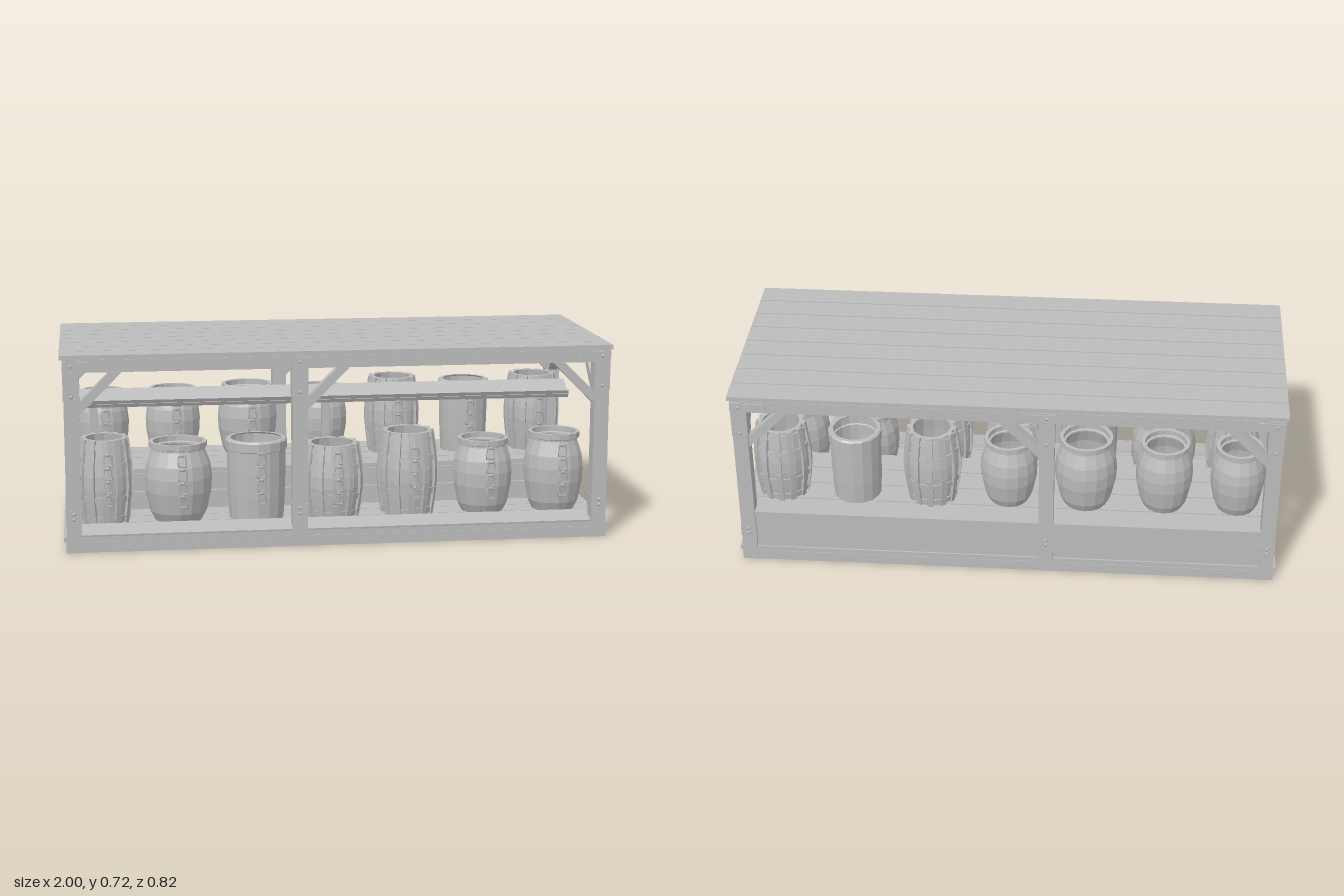
import * as THREE from 'three';
import { mergeGeometries } from 'three/addons/utils/BufferGeometryUtils.js';

const grey = new THREE.MeshStandardMaterial({ color: 0xbbbbbb });
grey.name = 'plain grey';

function add(parent, name, geo, x = 0, y = 0, z = 0) {
  const m = new THREE.Mesh(geo, grey);
  m.name = name;
  m.position.set(x, y, z);
  parent.add(m);
  return m;
}

// Box given by its minimum and maximum on every axis
function span(parent, name, x0, x1, y0, y1, z0, z1) {
  return add(parent, name, new THREE.BoxGeometry(x1 - x0, y1 - y0, z1 - z0),
    (x0 + x1) / 2, (y0 + y1) / 2, (z0 + z1) / 2);
}

// Diagonal brace rising away from a post
function brace(parent, x, z, turn) {
  const s = new THREE.Shape([[0, 0.5], [0.155, 0.655], [0.11, 0.655], [0, 0.545]].map(p => new THREE.Vector2(...p)));
  const g = new THREE.ExtrudeGeometry(s, { depth: 0.035, bevelEnabled: false });
  g.translate(0, 0, -0.0175);
  add(parent, 'brace', g, x, 0, z).rotation.y = turn;
}

// Hollow faceted vessel from an outer profile of [radius, height] pairs
function vesselBody(profile, sides) {
  const pts = [[0, profile[0][1]], ...profile,
    ...profile.slice(1).reverse().map(([r, y]) => [r - 0.014, y]), [0, profile[1][1]]];
  const g = new THREE.LatheGeometry(pts.map(p => new THREE.Vector2(...p)), sides).toNonIndexed();
  g.computeVertexNormals();
  return g;
}

// Small square frames stacked on the front face of a vessel
function latches(parent, radiusAt, h) {
  const n = 4;
  for (let i = 0; i < n; i++) {
    const y = h * 0.3 + i * 0.05;
    const g = new THREE.TorusGeometry(0.02, 0.004, 4, 4);
    g.rotateZ(Math.PI / 4);
    g.scale(1, 1.35, 1.3);
    add(parent, 'latch', g, 0.01, y, radiusAt(y) + 0.006);
    add(parent, 'latchPin', new THREE.SphereGeometry(0.007, 6, 4), 0.01, y + 0.022, radiusAt(y) + 0.01);
  }
}

const SHAPES = {
  barrel: [[0.84, 0], [0.93, 0.2], [1, 0.42], [1, 0.58], [0.93, 0.8], [0.84, 1]],
  jar: [[0.7, 0], [0.85, 0.12], [0.98, 0.38], [1, 0.56], [0.95, 0.72], [0.79, 0.9], [0.79, 0.92], [0.86, 0.93], [0.86, 1]],
  tub: [[0.88, 0], [0.93, 0.3], [0.95, 0.6], [0.95, 0.86], [1, 0.87], [1, 0.98], [0.95, 1]],
};

function vessel(parent, kind, x, y, z, r, h) {
  const v = new THREE.Group();
  v.name = kind;
  v.position.set(x, y, z);
  parent.add(v);
  const prof = SHAPES[kind].map(([a, b]) => [a * r, b * h]);
  const radiusAt = yy => {
    let i = 1;
    while (i < prof.length - 1 && prof[i][1] < yy) i++;
    const [a, b] = [prof[i - 1], prof[i]];
    return a[0] + (b[0] - a[0]) * (yy - a[1]) / (b[1] - a[1]);
  };
  const sides = kind === 'barrel' ? 12 : 16;
  add(v, kind + 'Body', vesselBody(prof, sides));
  if (kind === 'barrel') {
    // raised upright straps along the corners
    const straps = [];
    for (let s = 0; s < 12; s++) {
      for (let i = 1; i < prof.length; i++) {
        const [a, b] = [prof[i - 1], prof[i]];
        const dr = b[0] - a[0], dy = b[1] - a[1];
        const g = new THREE.BoxGeometry(0.022, Math.hypot(dr, dy), 0.014);
        g.rotateX(Math.atan2(dr, dy));
        g.translate(0, (a[1] + b[1]) / 2, (a[0] + b[0]) / 2);
        g.rotateY(s * Math.PI / 6);
        straps.push(g);
      }
    }
    add(v, 'barrelStraps', mergeGeometries(straps));
    // raised hoops
    for (const t of [0.06, 0.3, 0.7, 0.92]) {
      const y0 = t * h - 0.011, y1 = t * h + 0.011;
      const ring = [[radiusAt(y0) - 0.006, y0], [radiusAt(y0) + 0.005, y0], [radiusAt(y1) + 0.005, y1], [radiusAt(y1) - 0.006, y1]];
      const g = new THREE.LatheGeometry(ring.map(p => new THREE.Vector2(...p)), 12).toNonIndexed();
      g.computeVertexNormals();
      add(v, 'barrelHoop', g);
    }
  }
  latches(v, radiusAt, h);
}

export function createModel() {
  const root = new THREE.Group();
  root.name = 'marketStall';

  // Roof and floor planks
  for (let i = 0; i < 8; i++) {
    const z = -0.4 + i * 0.1;
    span(root, 'roofPlank', -1, 1, 0.702, 0.718, z + 0.002, z + 0.098);
    span(root, 'floorPlank', -0.998, 0.998, 0.042, 0.06, z + 0.002, z + 0.098);
  }
  add(root, 'loosePlank', new THREE.BoxGeometry(1.87, 0.013, 0.1), 0, 0.069, 0.348).rotation.x = 0.18;

  // Long beams and cross beams under both decks
  for (const z of [-0.373, 0.373]) {
    span(root, 'roofBeam', -0.99, 0.99, 0.657, 0.702, z - 0.027, z + 0.027);
    span(root, 'floorBeam', -0.99, 0.99, 0.003, 0.042, z - 0.027, z + 0.027);
  }
  for (const x of [-0.96, -0.32, 0.32, 0.96]) {
    span(root, 'roofCrossBeam', x - 0.025, x + 0.025, 0.655, 0.702, -0.346, 0.346);
    span(root, 'floorCrossBeam', x - 0.025, x + 0.025, 0.005, 0.042, -0.346, 0.346);
  }

  // Posts with bolted plates and braces
  for (const side of [-1, 1]) {
    for (const x of [-0.96, -0.147, 0.96]) {
      const z = side * 0.374;
      span(root, 'post', x - 0.027, x + 0.027, 0.003, 0.7, z - 0.028, z + 0.028);
      for (const [y0, y1] of [[0.11, 0.16], [0.555, 0.695]]) {
        span(root, 'postPlate', x - 0.029, x + 0.029, y0, y1, z - 0.029, z + 0.029);
        for (const y of [y0 + 0.015, y1 - 0.015]) {
          add(root, 'bolt', new THREE.SphereGeometry(0.007, 6, 4), x, y, side * 0.403);
        }
      }
      span(root, 'beamPlate', x - (x > 0.9 ? 0.1 : 0.03), x + (x > 0.9 ? 0.03 : 0.07), 0.663, 0.695,
        side * 0.402 - 0.003, side * 0.402 + 0.003);
      brace(root, x + (x > 0.9 ? -0.025 : 0.025), z, x > 0.9 ? Math.PI : 0);
      if (Math.abs(x) > 0.9) brace(root, x, side * 0.348, side * Math.PI / 2);
    }
  }

  // Raised bench at the back
  span(root, 'benchBack', -0.984, 0.984, 0.06, 0.2, -0.392, -0.378);
  for (const s of [-1, 1]) {
    span(root, 'benchEnd', s * 0.978 - 0.008, s * 0.978 + 0.008, 0.06, 0.2, -0.392, 0.005);
  }
  for (const y of [0.062, 0.132]) span(root, 'benchFront', -0.97, 0.97, y, y + 0.066, -0.01, 0.005);
  for (let i = 0; i < 4; i++) {
    const z = -0.4 + i * 0.1025;
    span(root, 'benchPlank', -0.985, 0.985, 0.2, 0.217, z + 0.002, z + 0.1);
  }

  // Sloping rail on uprights
  add(root, 'railBoard', new THREE.BoxGeometry(1.88, 0.015, 0.096), 0, 0.482, -0.053).rotation.x = 0.5;
  add(root, 'railLip', new THREE.BoxGeometry(1.88, 0.026, 0.009), 0, 0.471, -0.012).rotation.x = 0.5;
  for (const x of [-0.88, 0, 0.88]) {
    span(root, 'railUpright', x - 0.015, x + 0.015, 0.217, 0.46, -0.068, -0.038);
    span(root, 'railCap', x - 0.02, x + 0.02, 0.447, 0.477, -0.071, -0.035);
  }

  // Front row: kind, x, radius, height
  for (const [k, x, r, h] of [['barrel', -0.845, 0.098, 0.315], ['jar', -0.575, 0.125, 0.295], ['tub', -0.285, 0.115, 0.3],
    ['barrel', 0, 0.112, 0.275], ['barrel', 0.285, 0.108, 0.315], ['jar', 0.572, 0.112, 0.28], ['jar', 0.845, 0.113, 0.298]]) {
    vessel(root, k, x, 0.06, 0.155, r, h);
  }
  // Back row on the bench
  for (const [k, x, r, h] of [['jar', -0.845, 0.1, 0.265], ['jar', -0.575, 0.105, 0.27], ['jar', -0.285, 0.115, 0.28],
    ['jar', 0, 0.105, 0.265], ['barrel', 0.285, 0.1, 0.297], ['tub', 0.57, 0.1, 0.28], ['barrel', 0.845, 0.1, 0.297]]) {
    vessel(root, k, x, 0.217, -0.23, r, h);
  }
  return root;
}
